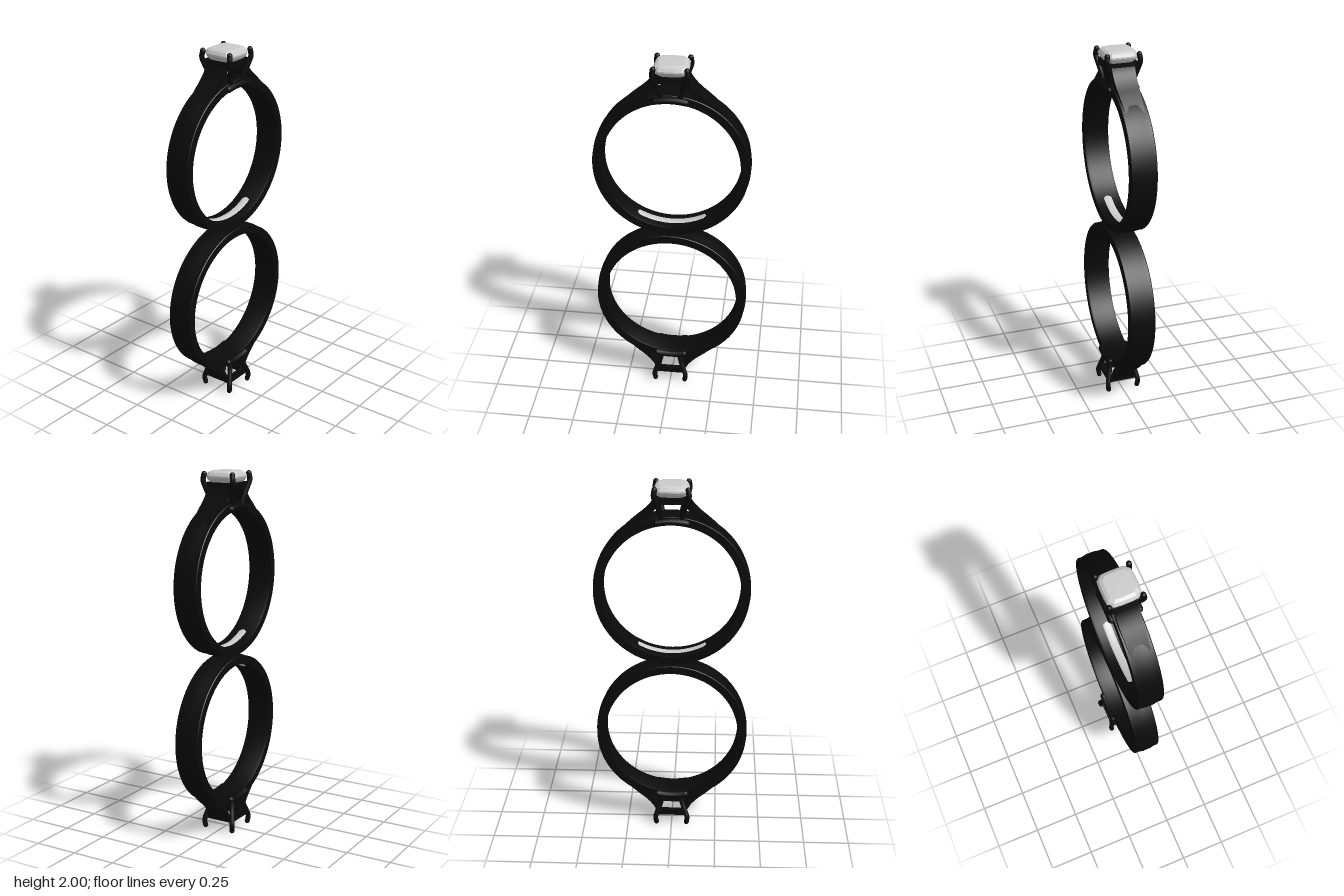
import * as THREE from 'three';
import { toCreasedNormals } from 'three/addons/utils/BufferGeometryUtils.js';

const black = new THREE.MeshStandardMaterial({ color: 0x0a0a0a });
const grey = new THREE.MeshStandardMaterial({ color: 0xcccccc });
const facet = new THREE.MeshStandardMaterial({ color: 0xcccccc, flatShading: true });

function add(parent, name, geometry, material = black) {
  const mesh = new THREE.Mesh(geometry, material);
  mesh.name = name;
  parent.add(mesh);
  return mesh;
}

const lathe = (pts, segments) =>
  new THREE.LatheGeometry(pts.map(([r, y]) => new THREE.Vector2(r, y)), segments);

// Band: flat inside, gently raised outside, with its axis along z
function bandGeometry() {
  const profile = [
    [0.371, -0.07], [0.412, -0.07], [0.415, -0.066], [0.415, -0.045], [0.42, -0.02],
    [0.42, 0.02], [0.415, 0.045], [0.415, 0.066], [0.412, 0.07], [0.371, 0.07],
    [0.368, 0.06], [0.368, -0.06], [0.371, -0.07],
  ];
  return toCreasedNormals(lathe(profile, 120).rotateX(Math.PI / 2), 0.5);
}

// Shoulder: sweeps from the band up to the setting, widening toward it
function shoulderGeometry(s) {
  const shape = new THREE.Shape();
  shape.moveTo(s * 0.34, 0.235);
  shape.quadraticCurveTo(s * 0.28, 0.315, s * 0.18, 0.395);
  shape.quadraticCurveTo(s * 0.105, 0.45, s * 0.088, 0.50);
  shape.lineTo(s * 0.066, 0.50);
  shape.quadraticCurveTo(s * 0.085, 0.44, s * 0.125, 0.40);
  shape.lineTo(s * 0.125, 0.375);
  shape.quadraticCurveTo(s * 0.25, 0.33, s * 0.32, 0.22);
  const geo = new THREE.ExtrudeGeometry(shape, { depth: 2, bevelEnabled: false, curveSegments: 12 });
  const pos = geo.attributes.position;
  for (let i = 0; i < pos.count; i++) {
    const t = THREE.MathUtils.smoothstep(Math.abs(pos.getX(i)), 0.08, 0.34);
    pos.setZ(i, (pos.getZ(i) - 1) * THREE.MathUtils.lerp(0.062, 0.05, t));
  }
  geo.computeVertexNormals();
  return toCreasedNormals(geo, 0.6);
}

// Rounded square used for the setting's frame
function roundedSquare(path, h, r) {
  path.moveTo(-h + r, -h);
  path.lineTo(h - r, -h).quadraticCurveTo(h, -h, h, -h + r);
  path.lineTo(h, h - r).quadraticCurveTo(h, h, h - r, h);
  path.lineTo(-h + r, h).quadraticCurveTo(-h, h, -h, h - r);
  path.lineTo(-h, -h + r).quadraticCurveTo(-h, -h, -h + r, -h);
  return path;
}

function frameGeometry() {
  const shape = roundedSquare(new THREE.Shape(), 0.085, 0.02);
  shape.holes.push(roundedSquare(new THREE.Path(), 0.06, 0.015));
  const geo = new THREE.ExtrudeGeometry(shape, { depth: 0.034, bevelEnabled: false, curveSegments: 5 });
  return toCreasedNormals(geo.rotateX(-Math.PI / 2), 0.6);
}

// Cut stone: a lathe pushed out to a cushion outline
function stoneGeometry() {
  const rows = [[0, 0.487], [0.05, 0.5], [0.082, 0.528], [0.091, 0.545], [0.091, 0.553],
    [0.082, 0.569], [0.066, 0.578], [0, 0.58]];
  const geo = lathe(rows, 20);
  const pos = geo.attributes.position;
  for (let i = 0; i < pos.count; i++) {
    const x = pos.getX(i), z = pos.getZ(i), r = Math.hypot(x, z);
    if (r < 1e-6) continue;
    const k = 1 / Math.pow(Math.abs(x / r) ** 5 + Math.abs(z / r) ** 5, 0.2);
    pos.setX(i, x * k);
    pos.setZ(i, z * k);
  }
  geo.computeVertexNormals();
  return geo;
}

// Plate: slim rounded strip bent along the inside of the band
function plateGeometry() {
  const n = 32, half = 0.53, pts = [];
  for (let i = 0; i <= n; i++) {
    const a = -Math.PI / 2 + half * (2 * i / n - 1);
    pts.push(new THREE.Vector3(0.369 * Math.cos(a), 0.369 * Math.sin(a), 0));
  }
  const geo = new THREE.TubeGeometry(new THREE.CatmullRomCurve3(pts), 48, 0.006, 12, false);
  const pos = geo.attributes.position;
  for (let i = 0; i < pos.count; i++) {
    const a = Math.abs(Math.atan2(pos.getY(i), pos.getX(i)) + Math.PI / 2) / half;
    const end = Math.max(0, (a - 0.92) / 0.08);
    pos.setZ(i, pos.getZ(i) * 4 * Math.sqrt(Math.max(0.02, 1 - end * end)));
  }
  geo.computeVertexNormals();
  return geo;
}

// Prong: tapered tube curving up and over the corner of the setting
function prongGeometry(sx, sz) {
  const curve = new THREE.CatmullRomCurve3([
    [0.048, 0.385, 0.062], [0.06, 0.44, 0.07], [0.078, 0.49, 0.082],
    [0.09, 0.53, 0.09], [0.086, 0.562, 0.086],
  ].map(([x, y, z]) => new THREE.Vector3(sx * x, y, sz * z)));
  return new THREE.TubeGeometry(curve, 20, 0.014, 12, false);
}

function ring(name, hasStone) {
  const group = new THREE.Group();
  group.name = name;
  add(group, 'band', bandGeometry());
  add(group, 'innerPlate', plateGeometry(), grey);
  add(group, 'settingFrame', frameGeometry()).position.y = 0.484;

  for (const s of [-1, 1]) {
    add(group, 'shoulder', shoulderGeometry(s));

    // Rail along each edge of the band under the setting
    const arc = 0.4;
    const rail = add(group, 'baseRail', new THREE.TorusGeometry(0.391, 0.018, 12, 24, arc));
    rail.rotation.z = Math.PI / 2 - arc / 2;
    rail.position.z = s * 0.073;
    for (const e of [-1, 1]) {
      const a = Math.PI / 2 + e * arc / 2;
      add(group, 'railEnd', new THREE.SphereGeometry(0.018, 12, 8))
        .position.set(0.391 * Math.cos(a), 0.391 * Math.sin(a), s * 0.073);

      add(group, 'prong', prongGeometry(e, s));
      const tip = add(group, 'prongTip', new THREE.SphereGeometry(0.0145, 12, 8));
      tip.position.set(e * 0.086, 0.562, s * 0.086);
    }
  }
  if (hasStone) add(group, 'stone', stoneGeometry(), facet);
  return group;
}

export function createModel() {
  const model = new THREE.Group();
  model.name = 'ringPair';

  const upper = ring('upperRing', true);
  upper.position.y = 1.42;
  model.add(upper);

  // Lower ring hangs upside down with an empty setting
  const lower = ring('lowerRing', false);
  lower.position.y = 0.578;
  lower.rotation.z = Math.PI;
  model.add(lower);
  return model;
}
